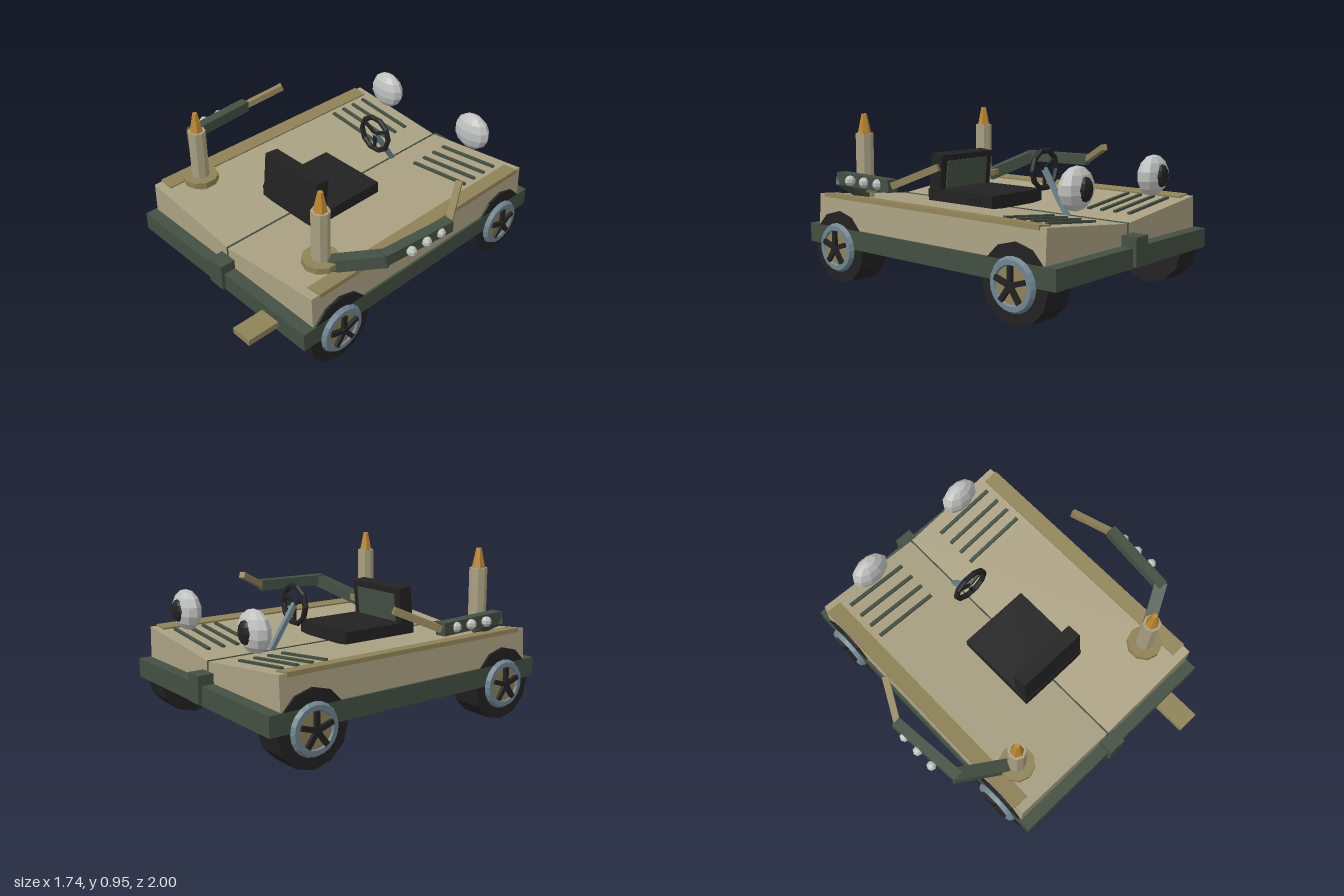
import * as THREE from 'three';

const mat = (name, color) => {
  const m = new THREE.MeshStandardMaterial({ color, flatShading: true });
  m.name = name;
  return m;
};

export function createModel() {
  const beige = mat('beige', 0xaaa182);
  const green = mat('darkGreen', 0x435043);
  const olive = mat('olive', 0x8f8257);
  const black = mat('black', 0x222222);
  const blue = mat('steelBlue', 0x6f8590);
  const grey = mat('lightGrey', 0xbfc1bf);
  const amber = mat('amber', 0xbc8630);

  const root = new THREE.Group();
  root.name = 'buggy';
  const add = (name, geo, material, x = 0, y = 0, z = 0, parent = root) => {
    const m = new THREE.Mesh(geo, material);
    m.name = name;
    m.position.set(x, y, z);
    parent.add(m);
    return m;
  };
  // Box given by its limits on each axis
  const box = (name, material, x0, x1, y0, y1, z0, z1) =>
    add(name, new THREE.BoxGeometry(x1 - x0, y1 - y0, z1 - z0), material,
      (x0 + x1) / 2, (y0 + y1) / 2, (z0 + z1) / 2);
  // Square bar running between two points
  const beam = (name, material, a, b, w, h) => {
    const p = new THREE.Vector3(...a), q = new THREE.Vector3(...b);
    const m = add(name, new THREE.BoxGeometry(w, h, p.distanceTo(q)), material);
    m.position.copy(p).add(q).multiplyScalar(0.5);
    m.lookAt(q);
    return m;
  };

  // Body with a shallow valley along the top
  const topY = x => 0.425 + 0.07 * Math.abs(x) / 0.66;
  const section = new THREE.Shape([[-0.67, 0.26], [0.67, 0.26], [0.66, 0.495], [0, 0.425], [-0.66, 0.495]]
    .map(p => new THREE.Vector2(...p)));
  add('body', new THREE.ExtrudeGeometry(section, { depth: 1.65, bevelEnabled: false }), beige, 0, 0, -0.91);
  box('centreSeam', green, -0.004, 0.004, 0.3, 0.43, -0.914, 0.744);

  // Chassis and bumper blocks
  box('chassis', green, -0.68, 0.68, 0.21, 0.317, -0.98, 0.81);
  box('frontBumperBlock', green, -0.053, 0.053, 0.22, 0.372, 0.7, 0.83);
  box('backBumperBlock', green, -0.053, 0.053, 0.22, 0.372, -1, -0.88);
  box('tongue', olive, 0.36, 0.485, 0.236, 0.272, 0.78, 1);

  // Seat
  box('seatCushion', black, -0.215, 0.215, 0.44, 0.515, -0.18, 0.31);
  const back = add('seatBack', new THREE.BoxGeometry(0.42, 0.23, 0.085), black, 0, 0.602, 0.255);
  back.rotation.x = -0.1;
  add('seatPanel', new THREE.BoxGeometry(0.33, 0.16, 0.009), green, 0, 0, -0.045, back);

  // Steering wheel and column
  const steering = new THREE.Group();
  steering.name = 'steeringWheel';
  steering.position.set(0, 0.66, -0.37);
  root.add(steering);
  add('steeringRim', new THREE.TorusGeometry(0.105, 0.016, 6, 10), black, 0, 0, 0, steering);
  for (let i = 0; i < 3; i++) {
    const a = -Math.PI / 2 + i * Math.PI * 2 / 3;
    const spoke = add('steeringSpoke', new THREE.BoxGeometry(0.1, 0.018, 0.014), black,
      Math.cos(a) * 0.05, Math.sin(a) * 0.05, 0, steering);
    spoke.rotation.z = a;
  }
  beam('steeringColumn', blue, [0, 0.665, -0.368], [0, 0.42, -0.53], 0.026, 0.026);

  // Wheel built facing +x or -x according to side
  const wheel = (s, z) => {
    const g = new THREE.Group();
    g.name = 'wheel';
    g.position.set(0, 0.205, z);
    root.add(g);
    const disc = (name, r, x0, x1, n, material) =>
      add(name, new THREE.CylinderGeometry(r, r, x1 - x0, n).rotateZ(Math.PI / 2), material,
        s * (x0 + x1) / 2, 0, 0, g);
    disc('tyre', 0.205, 0.5, 0.678, 12, black);
    const ring = add('rim', new THREE.TorusGeometry(0.113, 0.026, 6, 20).rotateY(Math.PI / 2), blue,
      s * 0.684, 0, 0, g);
    ring.scale.x = 0.95;
    disc('hubPlate', 0.095, 0.67, 0.696, 16, olive);
    disc('hub', 0.025, 0.68, 0.718, 8, black);
    for (let i = 0; i < 5; i++) {
      const a = Math.PI / 2 + i * Math.PI * 2 / 5;
      const spoke = add('wheelSpoke', new THREE.BoxGeometry(0.024, 0.026, 0.095), black,
        s * 0.704, Math.sin(a) * 0.049, Math.cos(a) * 0.049, g);
      spoke.rotation.x = -a;
    }
  };

  for (const s of [1, -1]) {
    const side = s > 0 ? 'left' : 'right';
    wheel(s, 0.56);
    wheel(s, -0.73);

    // Side rail
    const rail = add(side + 'Rail', new THREE.BoxGeometry(0.09, 0.024, 1.56), olive, s * 0.623, 0.487, -0.09);
    rail.rotation.z = s * 0.1;

    // Vents follow the slope of the top
    for (const z of [-0.815, -0.725, -0.64, -0.555]) {
      const vent = add(side + 'Vent', new THREE.BoxGeometry(0.39, 0.016, 0.02), green, s * 0.35, topY(0.35) + 0.004, z);
      vent.rotation.z = s * 0.106;
    }

    // Eye lamp
    const lamp = add(side + 'Lamp', new THREE.SphereGeometry(1, 10, 7), grey, s * 0.345, 0.635, -0.84);
    lamp.scale.set(0.12, 0.112, 0.066);
    const pupil = add(side + 'Pupil', new THREE.SphereGeometry(1, 8, 6), black, s * 0.345, 0.635, -0.895);
    pupil.scale.set(0.05, 0.062, 0.027);

    // Candle post
    const px = s * 0.5, pz = 0.53;
    add(side + 'PostBase', new THREE.CylinderGeometry(0.1, 0.1, 0.036, 10), olive, px, 0.532, pz);
    add(side + 'PostFoot', new THREE.CylinderGeometry(0.05, 0.05, 0.08, 8), beige, px, 0.48, pz);
    add(side + 'Post', new THREE.CylinderGeometry(0.05, 0.05, 0.29, 8), beige, px, 0.695, pz);
    add(side + 'Flame', new THREE.CylinderGeometry(0.015, 0.038, 0.11, 6), amber, px, 0.895, pz);

    // Jointed arm with studs
    beam(side + 'UpperArm', green, [s * 0.53, 0.51, 0.51], [s * 0.8, 0.625, 0.36], 0.07, 0.07);
    beam(side + 'Forearm', green, [s * 0.785, 0.625, 0.385], [s * 0.828, 0.625, -0.065], 0.058, 0.066);
    beam(side + 'Finger', olive, [s * 0.825, 0.625, -0.06], [s * 0.71, 0.725, -0.27], 0.036, 0.036);
    for (const z of [0.025, 0.13, 0.24])
      add(side + 'Stud', new THREE.SphereGeometry(0.028, 7, 5), grey, s * 0.847, 0.627, z);
  }
  return root;
}
